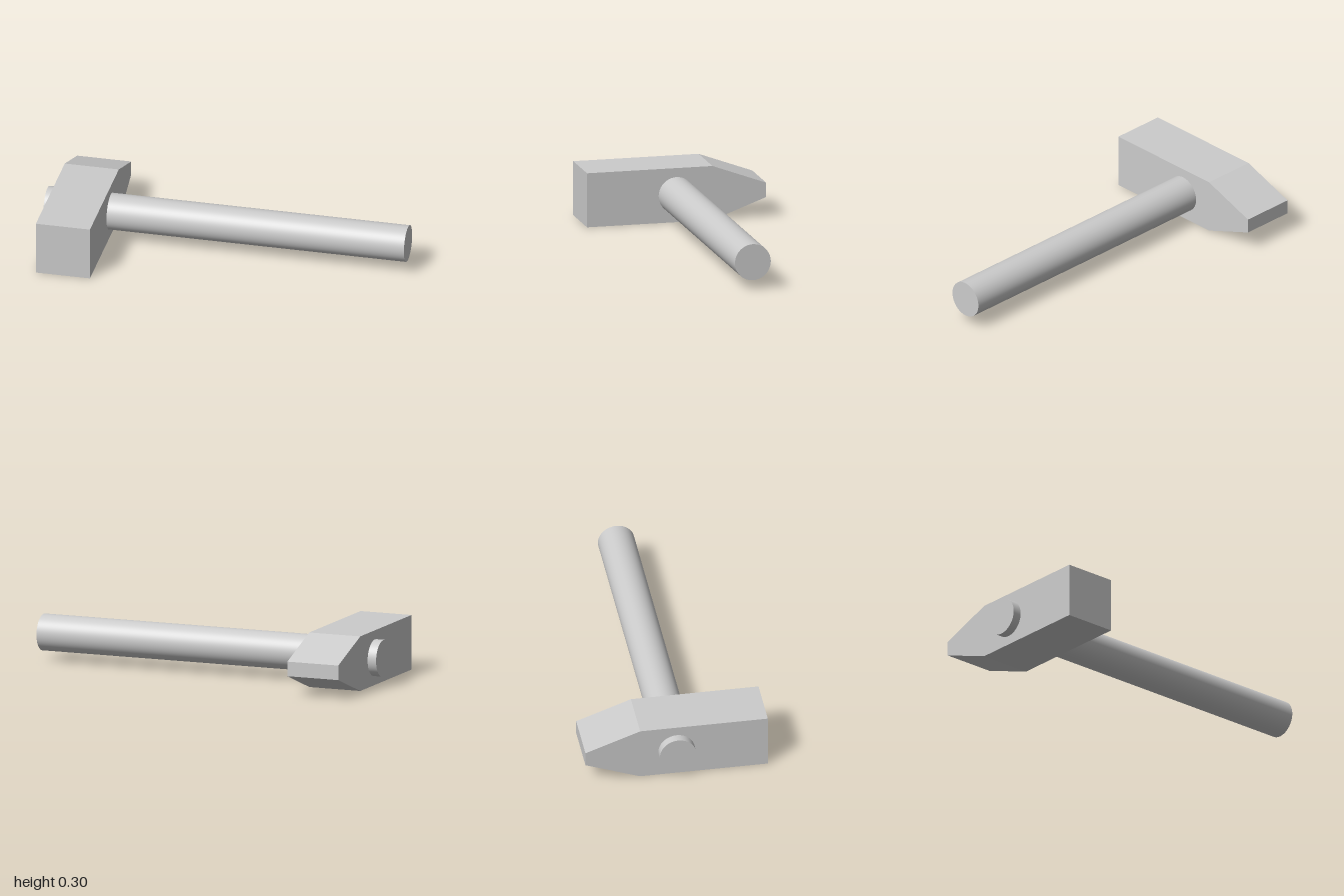
import * as THREE from 'three';

export function createModel() {
  const group = new THREE.Group();
  const material = new THREE.MeshStandardMaterial({ color: 0xcccccc });

  // Head: side profile (z, y) with a tapered peen at the back, extruded across x
  const profile = new THREE.Shape([
    [0.5, 0], [0.5, 0.3], [-0.2, 0.3], [-0.5, 0.19], [-0.5, 0.11], [-0.2, 0],
  ].map(([z, y]) => new THREE.Vector2(z, y)));
  const headGeometry = new THREE.ExtrudeGeometry(profile, { depth: 0.3, bevelEnabled: false });
  headGeometry.rotateY(-Math.PI / 2).translate(-0.65, 0, 0);
  const head = new THREE.Mesh(headGeometry, material);
  head.name = 'hammerHead';

  // Handle: round bar running through the head along x
  const handle = new THREE.Mesh(new THREE.CylinderGeometry(0.1, 0.1, 2, 64), material);
  handle.name = 'handle';
  handle.rotation.z = Math.PI / 2;
  handle.position.y = 0.15;

  group.add(head, handle);
  return group;
}
